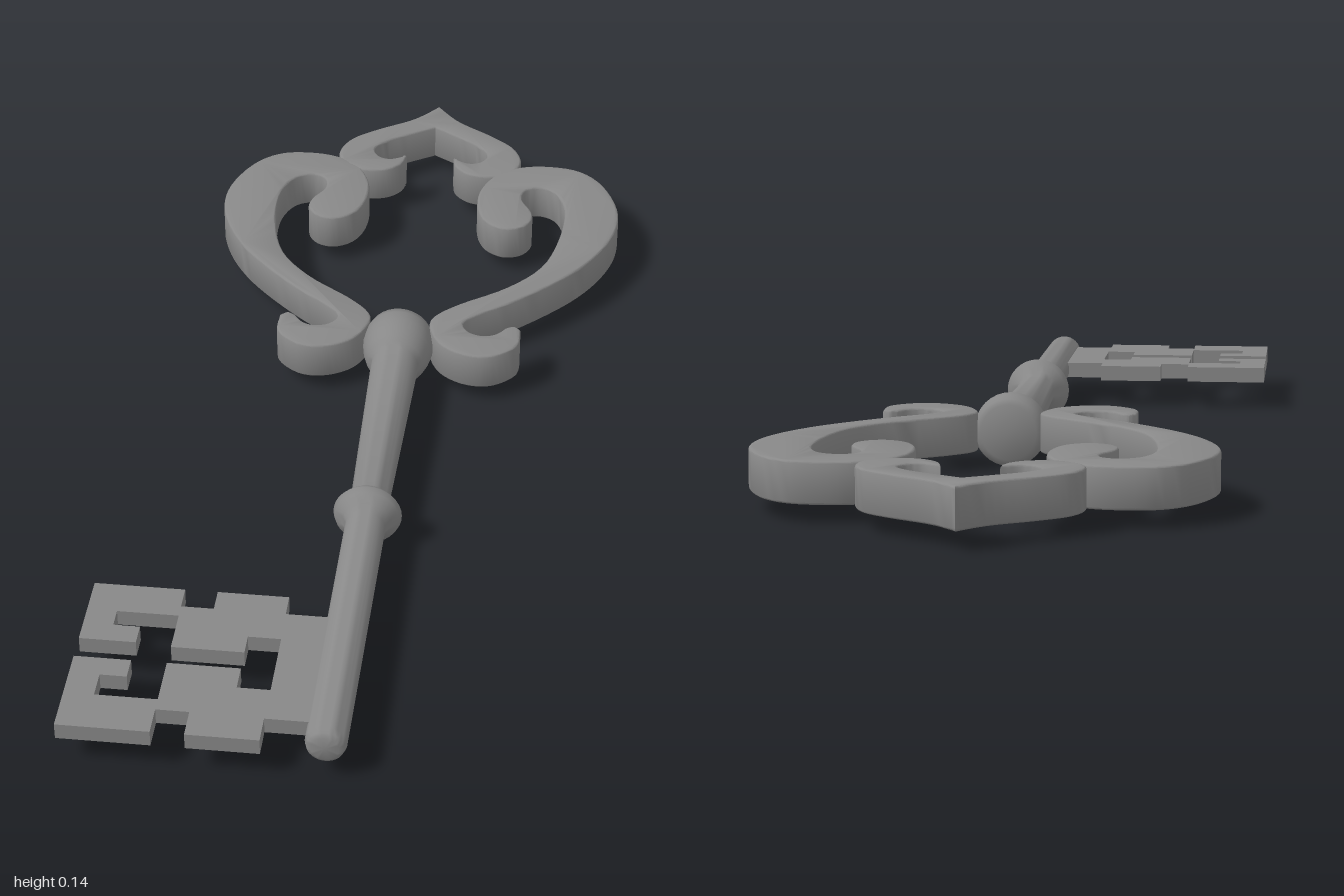
import * as THREE from 'three';
import { toCreasedNormals } from 'three/addons/utils/BufferGeometryUtils.js';

const AXIS_X = 0.022, AXIS_Y = 0.07;
const metal = new THREE.MeshStandardMaterial({ color: 0x888888 });

function addPart(group, name, geometry, crease = 0.6) {
  const mesh = new THREE.Mesh(toCreasedNormals(geometry, crease), metal);
  mesh.name = name;
  mesh.position.set(AXIS_X, AXIS_Y, 0);
  group.add(mesh);
}

// Plan-view shape (x, z) made into a flat plate centred on the shaft's height
function plate(shape, thickness, bevel) {
  const geometry = new THREE.ExtrudeGeometry(shape, {
    depth: thickness - 2 * bevel, curveSegments: 4,
    bevelEnabled: bevel > 0, bevelThickness: bevel, bevelSize: bevel,
    bevelOffset: -bevel, bevelSegments: 5,
  });
  geometry.translate(0, 0, bevel - thickness / 2);
  return geometry.rotateX(Math.PI / 2);
}

// Closed outline of smooth runs that meet in sharp corners
function outline(runs, side = 1) {
  const shape = new THREE.Shape();
  const vec = ([x, z]) => new THREE.Vector2(side * x, z);
  const start = vec(runs[0][0]);
  shape.moveTo(start.x, start.y);
  runs.forEach((run, i) => {
    const next = runs[(i + 1) % runs.length][0];
    shape.splineThru([...run.slice(1), next].map(vec));
  });
  return shape;
}

// Side scroll, one half: corners at the two edges of the lower curl's tip
const scroll = [
  [[0.238, -0.185], [0.235, -0.13], [0.19, -0.09], [0.138, -0.088], [0.09, -0.115],
    [0.064, -0.16], [0.062, -0.207], [0.107, -0.257], [0.197, -0.325], [0.262, -0.405],
    [0.291, -0.505], [0.298, -0.61], [0.278, -0.675], [0.243, -0.697], [0.212, -0.685],
    [0.207, -0.65], [0.228, -0.61], [0.232, -0.575], [0.212, -0.545], [0.175, -0.536],
    [0.137, -0.56], [0.117, -0.61], [0.117, -0.675], [0.143, -0.735], [0.19, -0.772],
    [0.25, -0.784], [0.318, -0.773], [0.37, -0.725], [0.405, -0.64], [0.407, -0.56],
    [0.382, -0.48], [0.338, -0.405], [0.28, -0.338], [0.21, -0.272], [0.153, -0.228],
    [0.125, -0.196], [0.138, -0.168], [0.165, -0.158], [0.19, -0.166]],
  [[0.208, -0.188], [0.224, -0.196]],
];

// Pointed crest, one half from the tip round to the inner corner
const crestOuter = [[0, -1], [0.05, -0.942], [0.122, -0.893], [0.174, -0.848],
  [0.194, -0.795], [0.178, -0.75], [0.137, -0.728], [0.09, -0.732], [0.058, -0.76]];
const crestInner = [[0.05, -0.795], [0.082, -0.778], [0.108, -0.786], [0.12, -0.815],
  [0.095, -0.848], [0.052, -0.878]];
const mirror = (points) => points.map(([x, z]) => [-x, z]);
const crest = [
  crestOuter,
  crestInner,
  [[0, -0.911], ...mirror(crestInner.slice(1)).reverse()],
  [[-0.05, -0.795], ...mirror(crestOuter.slice(1)).reverse()],
];

// Square-cut bit with an open slot in its outer edge
const bit = [
  [-0.455, 0.635], [-0.293, 0.635], [-0.293, 0.68], [-0.235, 0.68], [-0.235, 0.635],
  [-0.108, 0.635], [-0.108, 0.68], [-0.01, 0.68], [-0.01, 0.947], [-0.108, 0.947],
  [-0.108, 1], [-0.235, 1], [-0.235, 0.945], [-0.293, 0.945], [-0.293, 1],
  [-0.455, 1], [-0.455, 0.828], [-0.355, 0.828], [-0.355, 0.87], [-0.402, 0.87],
  [-0.402, 0.92], [-0.293, 0.92], [-0.293, 0.828], [-0.165, 0.828], [-0.165, 0.876],
  [-0.107, 0.876], [-0.107, 0.746], [-0.165, 0.746], [-0.165, 0.787], [-0.293, 0.787],
  [-0.293, 0.705], [-0.402, 0.705], [-0.402, 0.741], [-0.355, 0.741], [-0.355, 0.782],
  [-0.455, 0.782],
];

// Turned shaft: collar, tapered neck, ring, straight stem (radius, z)
const shaft = [
  [0, -0.2], [0.052, -0.2], [0.062, -0.194], [0.068, -0.175], [0.069, -0.15], [0.066, -0.13],
  [0.06, -0.11], [0.054, -0.098], [0.046, -0.088], [0.036, 0.33], [0.042, 0.345],
  [0.056, 0.358], [0.063, 0.37], [0.059, 0.381], [0.044, 0.395], [0.037, 0.41],
  [0.036, 0.975], [0.032, 0.987], [0.024, 0.992], [0, 0.992],
];

export function createModel() {
  const key = new THREE.Group();
  key.name = 'key';

  const turned = new THREE.LatheGeometry(shaft.map((p) => new THREE.Vector2(...p)), 32);
  addPart(key, 'shaft', turned.rotateX(Math.PI / 2), 0.9);

  addPart(key, 'leftScroll', plate(outline(scroll, 1), 0.075, 0.006));
  addPart(key, 'rightScroll', plate(outline(scroll, -1), 0.075, 0.006));
  addPart(key, 'crest', plate(outline(crest), 0.075, 0.006));

  const bitShape = new THREE.Shape(bit.map((p) => new THREE.Vector2(...p)));
  addPart(key, 'bit', plate(bitShape, 0.031, 0));
  return key;
}
